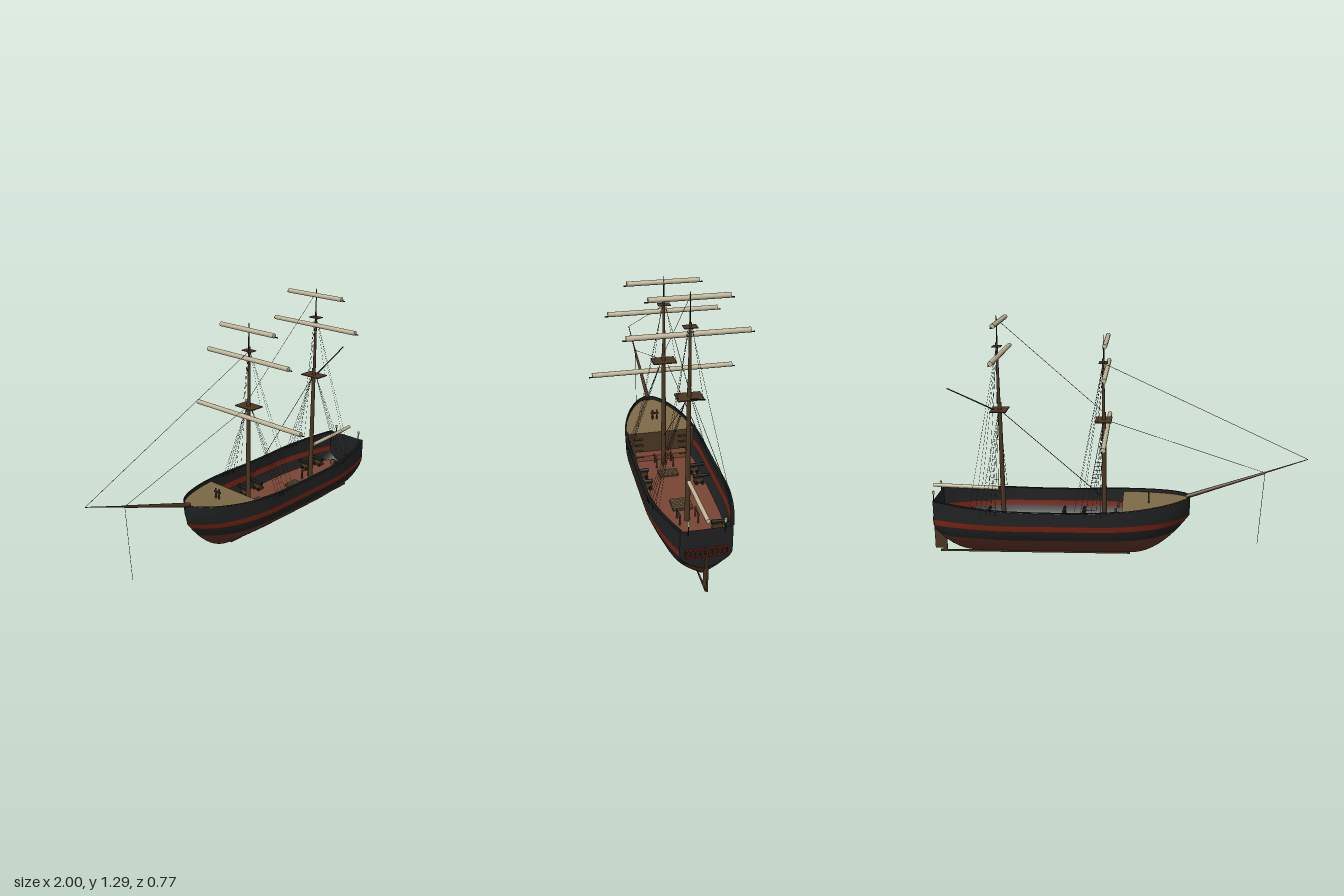
import * as THREE from 'three';

const mat = (name, color) => {
  const m = new THREE.MeshStandardMaterial({ color, side: THREE.DoubleSide });
  m.name = name;
  return m;
};

// Hull lines: sheer height, keel height, half-beam and section width
const BOW = -0.39, STERN = 0.965, DECK = 0.148;
const sheer = x => 0.302 + (x < 0.3 ? 0.038 * ((0.3 - x) / 0.69) ** 2 : 0.031 * ((x - 0.3) / 0.67) ** 2);
const keelY = x => 0.008 + (x < -0.07 ? 0.225 * ((-0.07 - x) / 0.32) ** 2 : x > 0.6 ? 0.115 * ((x - 0.6) / 0.365) ** 5 : 0);
const beam = x => {
  if (x < 0.1) return 0.2 * Math.max(0, 1 - ((0.1 - x) / 0.49) ** 1.8) ** 0.58;
  return x > 0.55 ? 0.2 - 0.08 * ((x - 0.55) / 0.415) ** 1.8 : 0.2;
};
const width = (x, y) => {
  const full = 0.78 - 0.36 * Math.max(0, (x - 0.6) / 0.365) ** 3;
  const s = THREE.MathUtils.clamp((y - keelY(x)) / (sheer(x) - keelY(x)) / full, 0, 1);
  return beam(x) * (1 - (1 - s) ** 2.2);
};
const stations = (a, b, n, p = 1) => Array.from({ length: n + 1 }, (_, i) => a + (b - a) * (i / n) ** p);

// Surface through rows of [x, y, z] points
function grid(rows, flip = false) {
  const n = rows[0].length, index = [];
  for (let j = 0; j < rows.length - 1; j++)
    for (let i = 0; i < n - 1; i++) {
      const a = j * n + i, b = a + 1, c = b + n, d = a + n;
      index.push(...(flip ? [a, c, b, a, d, c] : [a, b, c, a, c, d]));
    }
  const g = new THREE.BufferGeometry();
  g.setAttribute('position', new THREE.Float32BufferAttribute(rows.flat(2), 3));
  g.setIndex(index);
  g.computeVertexNormals();
  return g;
}

export function createModel() {
  const ship = new THREE.Group();
  ship.name = 'sailingShip';
  const black = mat('hullBlack', 0x1f2021), red = mat('stripeRed', 0x74200e), bottom = mat('hullBrownRed', 0x5e3025),
    deckMat = mat('deckRedBrown', 0x784533), tan = mat('foredeckTan', 0x7c6947), wood = mat('mastBrown', 0x4a3622),
    canvas = mat('canvasBeige', 0xc2b699), rope = mat('ropeDark', 0x2c2824), iron = mat('ironBlack', 0x161718);

  const add = (name, geo, m, parent = ship) => {
    const mesh = new THREE.Mesh(geo, m);
    mesh.name = name;
    parent.add(mesh);
    return mesh;
  };
  const box = (name, m, size, pos, parent) => {
    const b = add(name, new THREE.BoxGeometry(...size), m, parent);
    b.position.set(...pos);
    return b;
  };
  const UP = new THREE.Vector3(0, 1, 0);
  const bar = (name, m, p, q, r0, r1 = r0, sides = 10, parent = ship) => {
    const a = new THREE.Vector3(...p), d = new THREE.Vector3(...q).sub(a), len = d.length();
    const b = add(name, new THREE.CylinderGeometry(r1, r0, len, sides), m, parent);
    b.position.copy(a).addScaledVector(d, 0.5);
    b.quaternion.setFromUnitVectors(UP, d.normalize());
    return b;
  };
  const line = (name, p, q, parent, r = 0.0012) => bar(name, rope, p, q, r, r, 4, parent);

  // Hull sides in coloured bands
  const xs = stations(BOW, STERN, 60, 1.6);
  const bands = [
    ['lowerHull', bottom, x => keelY(x), () => 0.14, 12],
    ['lowerWale', black, () => 0.14, () => 0.2, 3],
    ['hullStripe', red, () => 0.2, () => 0.23, 2],
    ['bulwark', black, () => 0.23, sheer, 3],
  ];
  for (const side of [1, -1]) {
    for (const [name, m, lo, hi, n] of bands) {
      const rows = stations(0, 1, n, name === 'lowerHull' ? 1.5 : 1).map(t => xs.map(x => {
        const y = Math.max(keelY(x), lo(x) + (hi(x) - lo(x)) * t);
        return [x, y, side * width(x, y)];
      }));
      add(name, grid(rows, side < 0), m);
    }
    // Rail cap, narrow around the bow
    const cap = [() => 0.003, x => (x < -0.03 ? -0.006 : -0.015)]
      .map(o => xs.map(x => [x, sheer(x) + 0.002, side * Math.max(0, beam(x) + o(x))]));
    add('railCap', grid(cap, side < 0), iron);
  }

  // Transom and stern windows
  const transomRows = stations(0, 1, 20, 1.4).map(t => {
    const y = keelY(STERN) + (sheer(STERN) - keelY(STERN)) * t, w = width(STERN, y);
    return [[STERN, y, w], [STERN, y, -w]];
  });
  add('transom', grid(transomRows), black);
  for (const side of [1, -1]) {
    for (const y of [0.195, 0.233]) box('windowFrame', red, [0.008, 0.006, 0.092], [STERN + 0.0055, y, side * 0.05]);
    for (let i = 0; i < 5; i++) box('windowBar', red, [0.008, 0.04, 0.004], [STERN + 0.0055, 0.214, side * (0.006 + i * 0.022)]);
    // Stern lanterns
    bar('lanternPost', iron, [0.968, 0.31, side * 0.083], [0.968, 0.36, side * 0.083], 0.003);
    bar('lantern', canvas, [0.968, 0.36, side * 0.083], [0.968, 0.377, side * 0.083], 0.006, 0.007, 8);
  }

  // Keel, stern post and rudder
  box('keel', wood, [1.04, 0.01, 0.006], [0.45, 0.005, 0]);
  box('sternPost', wood, [0.022, 0.125, 0.007], [0.942, 0.07, 0]);
  box('rudder', wood, [0.045, 0.19, 0.007], [0.974, 0.115, 0]);
  box('rudderStock', wood, [0.012, 0.05, 0.007], [0.974, 0.225, 0]);

  // Decks
  const deck = (name, m, a, b, height, n) => {
    const dx = stations(a, b, n, 1.4);
    add(name, grid([1, -1].map(s => dx.map(x => [x, height(x), s * Math.max(0, width(x, height(x)) - 0.002)]))), m);
  };
  const foreY = x => sheer(x) - 0.018;
  deck('mainDeck', deckMat, -0.03, STERN - 0.002, () => DECK, 40);
  deck('foredeck', tan, BOW + 0.012, -0.03, foreY, 30);

  // Foredeck bulkhead cut to the hull section, low step and ladders
  const bulkhead = stations(DECK, foreY(-0.03), 8).map(y => [1, -1].map(s => [-0.03, y, s * (width(-0.03, y) - 0.002)]));
  add('foredeckBulkhead', grid(bulkhead), wood);
  box('foredeckStep', deckMat, [0.05, 0.03, 0.28], [-0.004, DECK + 0.015, 0]);
  for (const s of [1, -1]) for (let i = 0; i < 4; i++)
    box('ladderStep', wood, [0.014, 0.005, 0.045], [0.024 - i * 0.013, DECK + 0.03 + i * 0.028, s * 0.12]);

  // Hatch gratings
  for (const [x, w, n] of [[0.18, 0.055, 4], [0.485, 0.09, 6]]) {
    box('hatchCoaming', wood, [w, 0.012, 0.1], [x, DECK + 0.006, 0]);
    for (let i = 0; i < n; i++)
      box('hatchSlat', tan, [w / n * 0.7, 0.005, 0.1], [x + ((i + 0.5) / n - 0.5) * w, DECK + 0.014, 0]);
  }

  // Pin rails around the masts
  for (const x of [0.065, 0.61]) for (const s of [1, -1]) {
    box('pinRail', wood, [0.07, 0.006, 0.008], [x + 0.01, DECK + 0.05, s * 0.045]);
    for (const d of [-0.03, 0.03]) box('pinRailPost', wood, [0.007, 0.05, 0.007], [x + 0.01 + d, DECK + 0.025, s * 0.045]);
  }

  // Guns on carriages
  for (const x of [0.19, 0.3, 0.72, 0.82]) for (const s of [1, -1]) {
    const gun = new THREE.Group();
    gun.name = 'gun';
    gun.position.set(x, DECK, s * (width(x, 0.2) - 0.055));
    gun.scale.z = s;
    ship.add(gun);
    box('gunCarriage', wood, [0.022, 0.03, 0.05], [0, 0.021, -0.005], gun);
    for (const z of [-0.02, 0.012]) bar('gunWheels', iron, [-0.02, 0.009, z], [0.02, 0.009, z], 0.009, 0.009, 10, gun);
    bar('gunBarrel', iron, [0, 0.045, -0.035], [0, 0.045, 0.05], 0.01, 0.007, 10, gun);
  }

  // Foredeck bitts and stern wheel
  for (const z of [-0.012, 0.012]) bar('bitt', wood, [-0.17, 0.3, z], [-0.17, 0.355, z], 0.005);
  box('bittBeam', wood, [0.008, 0.008, 0.045], [-0.17, 0.337, 0]);
  const wheel = add('steeringWheel', new THREE.TorusGeometry(0.022, 0.003, 6, 16), wood);
  wheel.rotation.y = Math.PI / 2;
  wheel.position.set(0.84, DECK + 0.04, 0);
  box('wheelStand', wood, [0.02, 0.045, 0.012], [0.855, DECK + 0.022, 0]);

  // Bowsprit with jib boom and martingale line
  bar('bowsprit', wood, [-0.37, 0.335, 0], [-0.78, 0.474, 0], 0.012, 0.006);
  bar('jibBoom', wood, [-0.7, 0.447, 0], [-1, 0.55, 0], 0.005, 0.002, 8);
  line('bowspritLine', [-0.78, 0.47, 0], [-0.757, 0.07, 0]);

  // Masts, tops, yards with furled sails, shrouds
  const masts = [
    { name: 'foreMast', x: 0.067, top: 0.753, cross: 1.055, tip: 1.2, yards: [[1.167, 0.183], [1.016, 0.28], [0.696, 0.368]] },
    { name: 'mainMast', x: 0.612, top: 0.802, cross: 1.136, tip: 1.295, yards: [[1.263, 0.183], [1.096, 0.28]] },
  ];
  for (const { name, x, top, cross, tip, yards } of masts) {
    const g = new THREE.Group();
    g.name = name;
    ship.add(g);
    bar('lowerMast', wood, [x, DECK, 0], [x, top + 0.04, 0], 0.014, 0.01, 12, g);
    bar('topMast', wood, [x + 0.003, top - 0.02, 0], [x + 0.003, cross + 0.02, 0], 0.009, 0.006, 10, g);
    bar('mastPole', iron, [x, cross - 0.02, 0], [x, tip, 0], 0.004, 0.002, 8, g);
    box('mastTop', wood, [0.085, 0.005, 0.122], [x + 0.002, top, 0], g);
    box('crosstrees', wood, [0.045, 0.004, 0.062], [x + 0.002, cross, 0], g);
    for (const [y, half] of yards) {
      bar('furledSail', canvas, [x - 0.014, y, -half], [x - 0.014, y, half], 0.0125, 0.0125, 12, g);
      bar('yard', iron, [x - 0.008, y - 0.008, -half - 0.016], [x - 0.008, y - 0.008, half + 0.016], 0.0032, 0.0032, 8, g);
    }
    for (const s of [1, -1]) {
      const foot = dx => [x + dx, sheer(x + dx) - 0.012, s * (beam(x + dx) - 0.002)];
      const head = [x + 0.004, top, s * 0.012];
      const at = (dx, t) => foot(dx).map((v, i) => v + (head[i] - v) * t);
      for (const dx of [0.01, 0.035, 0.06, 0.09]) {
        line('shroud', foot(dx), head, g, 0.0008);
        box('deadeye', iron, [0.008, 0.02, 0.006], foot(dx), g);
      }
      for (let i = 1; i < 15; i++) line('ratline', at(0.01, i * 0.058), at(0.09, i * 0.058), g, 0.0005);
      for (const dx of [0.115, 0.15]) line('backstay', foot(dx), [x + 0.004, cross, s * 0.005], g, 0.0007);
      line('topShroud', [x + 0.03, top, s * 0.058], [x, cross, s * 0.01], g, 0.0007);
    }
  }

  // Stays
  line('foreTopStay', [-1, 0.55, 0], [0.065, 1.05, 0]);
  line('foreStay', [-0.78, 0.474, 0], [0.065, 0.755, 0]);
  line('mainTopStay', [0.61, 1.275, 0], [0.065, 0.79, 0]);
  line('mainStay', [0.61, 0.8, 0], [0.07, 0.32, 0], ship, 0.0018);

  // Gaff and boom with furled sail
  bar('gaff', iron, [0.615, 0.79, 0], [0.885, 0.914, 0], 0.004, 0.003, 8);
  bar('boom', wood, [0.615, 0.357, 0], [0.965, 0.374, 0], 0.004, 0.003, 8);
  bar('boomSail', canvas, [0.635, 0.37, 0], [0.985, 0.384, 0], 0.01, 0.01, 12);
  return ship;
}
